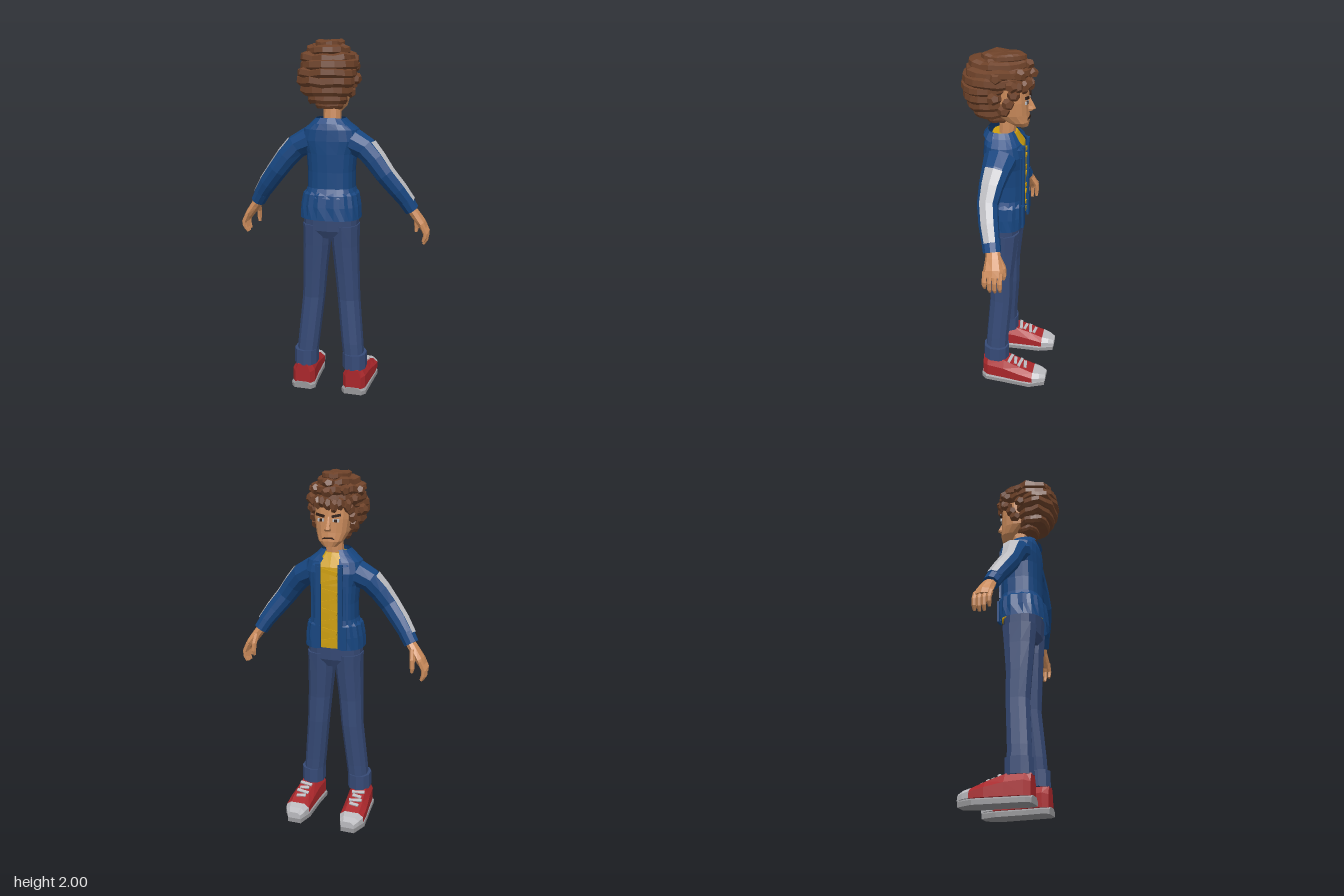
import * as THREE from 'three';

const mat = (name, color, both) => {
  const m = new THREE.MeshStandardMaterial({ color, flatShading: true });
  m.name = name;
  if (both) m.side = THREE.DoubleSide;
  return m;
};

// Small seeded generator for the uneven hair
let seed = 7;
const rnd = () => (seed = (seed * 16807) % 2147483647) / 2147483647;

const V = (x, y, z) => new THREE.Vector3(x, y, z);
const pw = (v, p) => Math.sign(v) * Math.abs(v) ** (2 / p);

// Skin a list of rings; closed rings get end caps
function loft(rings, closed = true) {
  const out = [], n = rings[0].length;
  const tri = (...t) => t.forEach((v) => out.push(v.x, v.y, v.z));
  const last = closed ? n : n - 1;
  for (let r = 0; r < rings.length - 1; r++)
    for (let i = 0; i < last; i++) {
      const a = rings[r], b = rings[r + 1], j = (i + 1) % n;
      tri(a[i], b[i], b[j]);
      tri(a[i], b[j], a[j]);
    }
  if (closed) for (const [ring, end] of [[rings[0], false], [rings[rings.length - 1], true]]) {
    const c = ring.reduce((s, p) => s.add(p), V(0, 0, 0)).divideScalar(n);
    for (let i = 0; i < n; i++) {
      const j = (i + 1) % n;
      end ? tri(c, ring[j], ring[i]) : tri(c, ring[i], ring[j]);
    }
  }
  const g = new THREE.BufferGeometry();
  g.setAttribute('position', new THREE.Float32BufferAttribute(out, 3));
  g.computeVertexNormals();
  return g;
}

// Horizontal rounded ring [cx, y, cz, rx, rz]; gap leaves it open at the front (-z)
function ring([cx, y, cz, rx, rz], n = 12, p = 2.4, gap = 0) {
  const count = gap ? n + 1 : n, pts = [];
  for (let i = 0; i < count; i++) {
    const a = -Math.PI / 2 + gap + (i / n) * (Math.PI * 2 - 2 * gap);
    pts.push(V(cx + rx * pw(Math.cos(a), p), y, cz + rz * pw(Math.sin(a), p)));
  }
  return pts;
}
const stack = (rows, n, p, gap) => loft(rows.map((r) => ring(r, n, p, gap)), !gap);

// Rings set square to a path of [x, y, z, ru, rv]
function limb(path, n = 10, a0 = 0, a1 = Math.PI * 2, grow = 0) {
  const closed = a1 - a0 > 6.2, pts = path.map((q) => V(q[0], q[1], q[2]));
  return loft(path.map((q, k) => {
    const d = pts[Math.min(k + 1, pts.length - 1)].clone().sub(pts[Math.max(k - 1, 0)]).normalize();
    const v = V(0, 0, 1).addScaledVector(d, -d.z).normalize(), u = d.clone().cross(v);
    return Array.from({ length: closed ? n : n + 1 }, (_, i) => {
      const a = a0 + ((a1 - a0) * i) / n;
      return pts[k].clone().addScaledVector(u, (q[3] + grow) * Math.cos(a)).addScaledVector(v, (q[4] + grow) * Math.sin(a));
    });
  }), closed);
}

// Shoe sections [z, cx, half width, bottom, top] running towards the toe
const shoe = (rows) => loft(rows.map(([z, cx, w, b, t]) => {
  const m = b + (t - b) * 0.6;
  return [[w, b], [w, m], [w * 0.6, t], [-w * 0.6, t], [-w, m], [-w, b]].map(([x, y]) => V(cx + x, y, z));
}));

function mirror(geo) {
  const g = geo.index ? geo.toNonIndexed() : geo.clone(), p = g.attributes.position;
  const t = [];
  for (let i = 0; i < p.count; i += 3)
    for (const k of [i, i + 2, i + 1]) t.push(-p.getX(k), p.getY(k), p.getZ(k));
  const m = new THREE.BufferGeometry();
  m.setAttribute('position', new THREE.Float32BufferAttribute(t, 3));
  m.computeVertexNormals();
  return m;
}

export function createModel() {
  const model = new THREE.Group();
  model.name = 'youngManInJacket';
  const skin = mat('skin', 0xcc8c5c), hair = mat('brown hair', 0x6e4229), blue = mat('blue jacket', 0x174680, true);
  const denim = mat('denim', 0x364a76), yellow = mat('yellow shirt', 0xcfa010), red = mat('red canvas', 0xaa272b);
  const white = mat('pale grey', 0xbcbcc0, true), rubber = mat('grey rubber', 0x97979a), dark = mat('dark brown', 0x2e1c14);

  const add = (name, geo, m) => {
    const mesh = new THREE.Mesh(geo, m);
    mesh.name = name;
    model.add(mesh);
  };
  const pair = (name, geo, m) => {
    add(name + 'Left', geo, m);
    add(name + 'Right', mirror(geo), m);
  };
  const box = (w, h, d, x, y, z, rx = 0, ry = 0, rz = 0) =>
    new THREE.BoxGeometry(w, h, d).rotateZ(rz).rotateY(ry).rotateX(rx).translate(x, y, z);

  // Shoes
  pair('sole', shoe([[0.137, 0.152, 0.05, 0, 0.04], [0.11, 0.152, 0.072, 0, 0.04], [0, 0.16, 0.07, 0, 0.04],
    [-0.16, 0.168, 0.073, 0, 0.042], [-0.25, 0.163, 0.04, 0, 0.045]]), rubber);
  pair('shoeUpper', shoe([[0.13, 0.152, 0.045, 0.035, 0.15], [0.1, 0.152, 0.066, 0.035, 0.16], [0, 0.16, 0.066, 0.035, 0.15],
    [-0.1, 0.167, 0.069, 0.035, 0.117], [-0.18, 0.168, 0.069, 0.035, 0.088]]), red);
  pair('toeCap', shoe([[-0.178, 0.168, 0.07, 0.035, 0.09], [-0.22, 0.166, 0.057, 0.035, 0.082], [-0.254, 0.163, 0.038, 0.03, 0.068]]), white);
  for (let i = 0; i < 4; i++) {
    const z = -0.035 - i * 0.03;
    pair('lace' + i, box(0.075 - (i % 2) * 0.02, 0.009, 0.018, 0.165, 0.155 + z * 0.35, z, -0.34, i % 2 ? 0.15 : -0.15), white);
  }

  // Trousers with turned-up cuffs
  pair('trouserLeg', stack([[0.14, 0.2, 0.055, 0.06, 0.066], [0.13, 0.3, 0.052, 0.062, 0.066], [0.104, 0.56, 0.034, 0.064, 0.066],
    [0.094, 0.72, 0.038, 0.069, 0.073], [0.083, 0.88, 0.036, 0.076, 0.088], [0.08, 1.0, 0.035, 0.08, 0.1]], 10, 2.3), denim);
  pair('trouserCuff', stack([[0.146, 0.145, 0.057, 0.069, 0.077], [0.145, 0.235, 0.056, 0.069, 0.076]], 10, 2.3), denim);
  add('hips', stack([[0, 0.925, 0.036, 0.125, 0.075], [0, 0.97, 0.036, 0.154, 0.098], [0, 1.08, 0.036, 0.157, 0.105]], 14, 2.6), denim);

  // Shirt
  add('shirt', stack([[0, 1.045, 0.03, 0.145, 0.105], [0, 1.2, 0.022, 0.118, 0.1], [0, 1.4, 0.022, 0.125, 0.1],
    [0, 1.5, 0.025, 0.13, 0.095], [0, 1.575, 0.03, 0.06, 0.065]], 16, 3), yellow);
  // Soft folds down the shirt front
  for (let i = 0; i < 8; i++)
    add('shirtFold' + i, box(0.09, 0.022, 0.009, 0, 1.09 + i * 0.055, -0.077, 0, 0, (i % 2 ? 1 : -1) * 0.22), yellow);

  // Open jacket, waistband, front edges and collar
  add('jacketBody', stack([[0, 1.16, 0.034, 0.15, 0.125], [0, 1.21, 0.026, 0.132, 0.112], [0, 1.3, 0.024, 0.13, 0.112],
    [0, 1.4, 0.024, 0.138, 0.114], [0, 1.47, 0.026, 0.165, 0.112], [0, 1.53, 0.032, 0.15, 0.102], [0, 1.565, 0.04, 0.105, 0.085],
    [0, 1.59, 0.045, 0.08, 0.07]], 18, 2.6, 0.33), blue);
  add('waistband', loft([[1.04, 0.168, 0.131], [1.11, 0.165, 0.131], [1.175, 0.154, 0.125], [1.195, 0.134, 0.112]].map(([y, rx, rz], k) =>
    ring([0, y, 0.04 - k * 0.004, rx, rz], 30, 2.6, 0.33).map((p, i) => {
      const f = i % 2 && k ? 0.965 : 1.01;
      return V(p.x * f, p.y, 0.035 + (p.z - 0.035) * f);
    })), false), blue);
  pair('frontEdge', box(0.026, 0.46, 0.014, 0.063, 1.29, -0.083), blue);
  pair('frontSeam', box(0.012, 0.28, 0.008, 0.1, 1.33, -0.076, 0, -0.35), blue);
  pair('frontHem', box(0.05, 0.13, 0.012, 0.075, 1.11, -0.086), blue);
  add('collar', loft([[1.562, 0.128, 0.123, 0.02], [1.598, 0.088, 0.08, 0.04]].map(([y, rx, rz, cz]) =>
    ring([0, y, cz, rx, rz], 14, 2.4, 0.4).map((p) => V(p.x, p.y + (p.z - 0.13) * 0.26, p.z))), false), blue);

  // Sleeves with pale stripes, cuffs
  const arm = [[0.12, 1.462, 0.03, 0.075, 0.09], [0.195, 1.425, 0.038, 0.066, 0.076], [0.25, 1.365, 0.05, 0.061, 0.065],
    [0.305, 1.292, 0.056, 0.056, 0.056], [0.37, 1.21, 0.036, 0.052, 0.053], [0.425, 1.135, 0.012, 0.044, 0.047]];
  pair('sleeve', limb(arm), blue);
  pair('sleeveStripe', limb(arm.slice(1), 2, Math.PI * 0.8, Math.PI * 1.2, 0.004), white);
  pair('sleeveCuff', limb([[0.412, 1.15, 0.016, 0.045, 0.05], [0.446, 1.095, 0.002, 0.042, 0.047]]), blue);

  // Hands
  pair('palm', limb([[0.43, 1.115, 0.002, 0.026, 0.034], [0.465, 1.068, -0.008, 0.028, 0.042], [0.5, 1.02, -0.015, 0.026, 0.052],
    [0.517, 0.99, -0.016, 0.02, 0.05]], 8), skin);
  for (let i = 0; i < 4; i++) {
    const z = -0.055 + i * 0.027, low = i === 3 ? 0.02 : i === 0 ? 0.008 : 0;
    pair('finger' + i, limb([[0.507, 1.015, z, 0.014, 0.014], [0.53, 0.965, z, 0.014, 0.013], [0.528, 0.925 + low, z, 0.013, 0.012],
      [0.517, 0.9 + low, z, 0.008, 0.008]], 6), skin);
  }
  pair('thumb', limb([[0.46, 1.07, -0.035, 0.016, 0.018], [0.466, 1.02, -0.062, 0.015, 0.015], [0.468, 0.975, -0.066, 0.013, 0.012],
    [0.466, 0.95, -0.062, 0.008, 0.008]], 6), skin);

  // Neck, head and nose
  add('neck', stack([[0, 1.54, 0.02, 0.05, 0.045], [0, 1.69, 0.01, 0.045, 0.045]], 10), skin);
  add('head', stack([[0, 1.615, -0.058, 0.035, 0.036], [0, 1.645, -0.04, 0.068, 0.06], [0, 1.69, -0.004, 0.088, 0.092],
    [0, 1.76, 0.002, 0.098, 0.096], [0, 1.84, 0.01, 0.1, 0.1], [0, 1.9, 0.02, 0.08, 0.085]], 16, 2.5), skin);
  add('nose', stack([[0, 1.7, -0.1, 0.016, 0.016], [0, 1.712, -0.108, 0.019, 0.024], [0, 1.728, -0.105, 0.014, 0.02], [0, 1.775, -0.088, 0.009, 0.01]], 6, 2), skin);

  // Eyes, frowning brows and mouth
  pair('eye', box(0.034, 0.015, 0.008, 0.042, 1.756, -0.092, 0, -0.15), white);
  pair('pupil', box(0.014, 0.015, 0.009, 0.04, 1.756, -0.094, 0, -0.15), dark);
  pair('brow', box(0.048, 0.013, 0.009, 0.044, 1.781, -0.094, 0, -0.15, 0.22), dark);
  add('mouth', box(0.045, 0.007, 0.009, 0, 1.663, -0.098), dark);
  pair('mouthCorner', box(0.014, 0.006, 0.009, 0.026, 1.66, -0.094, 0, -0.2, -0.5), dark);

  // Layered hair: uneven overlapping tiers, wider behind than in front
  const tiers = [[1.64, 1.69, 0.06, 0.075, 0.07], [1.67, 1.73, 0.095, 0.108, 0.1], [1.715, 1.775, 0.108, 0.136, 0.118],
    [1.76, 1.82, 0.112, 0.152, 0.132], [1.805, 1.86, 0.112, 0.16, 0.138], [1.84, 1.9, 0.068, 0.155, 0.175],
    [1.88, 1.935, 0.062, 0.143, 0.175], [1.92, 1.97, 0.06, 0.115, 0.155], [1.955, 1.995, 0.035, 0.072, 0.115]];
  tiers.forEach(([y0, y1, cz, rx, rz], t) => {
    const jag = Array.from({ length: 18 }, () => 0.93 + rnd() * 0.11);
    add('hairTier' + t, loft([[y0, 0.9], [y0 + (y1 - y0) * 0.3, 1], [y0 + (y1 - y0) * 0.8, 0.98], [y1, 0.8]].map(([y, s]) =>
      ring([0, y, 0, rx * s, rz * s], 18, 2.1).map((p, i) =>
        V(p.x * jag[i] * (1 + (0.2 * p.z) / rz), p.y + (jag[i] - 0.98) * 0.12, cz + p.z * jag[i])))), hair);
  });

  // Curls: fringe, temples and crown
  const curl = (x, y, z, sx, sy, sz) => new THREE.DodecahedronGeometry(1, 0)
    .rotateY(rnd() * 3).rotateX(rnd()).scale(sx, sy, sz).translate(x, y, z);
  for (let i = -3; i <= 3; i++) {
    const x = i * 0.031;
    add('fringeCurl' + (i + 3), curl(x, 1.842 + (i % 2) * 0.012, -0.1 + x * x * 5, 0.024, 0.036, 0.026), hair);
  }
  [[0.1, 1.81, -0.035], [0.108, 1.765, -0.008], [0.105, 1.725, 0.015], [0.118, 1.86, -0.025], [0.145, 1.8, 0.06], [0.13, 1.9, 0.05],
    [0.075, 1.95, 0.09], [0.08, 1.91, -0.06]].forEach(([x, y, z], i) => pair('sideCurl' + i, curl(x, y, z, 0.027, 0.032, 0.034), hair));
  [[-0.105, 1.9], [-0.085, 1.945], [-0.03, 1.972], [0.12, 1.955]].forEach(([z, y], i) =>
    add('crownCurl' + i, curl(0, y, z, 0.034, 0.028, 0.038), hair));

  return model;
}
